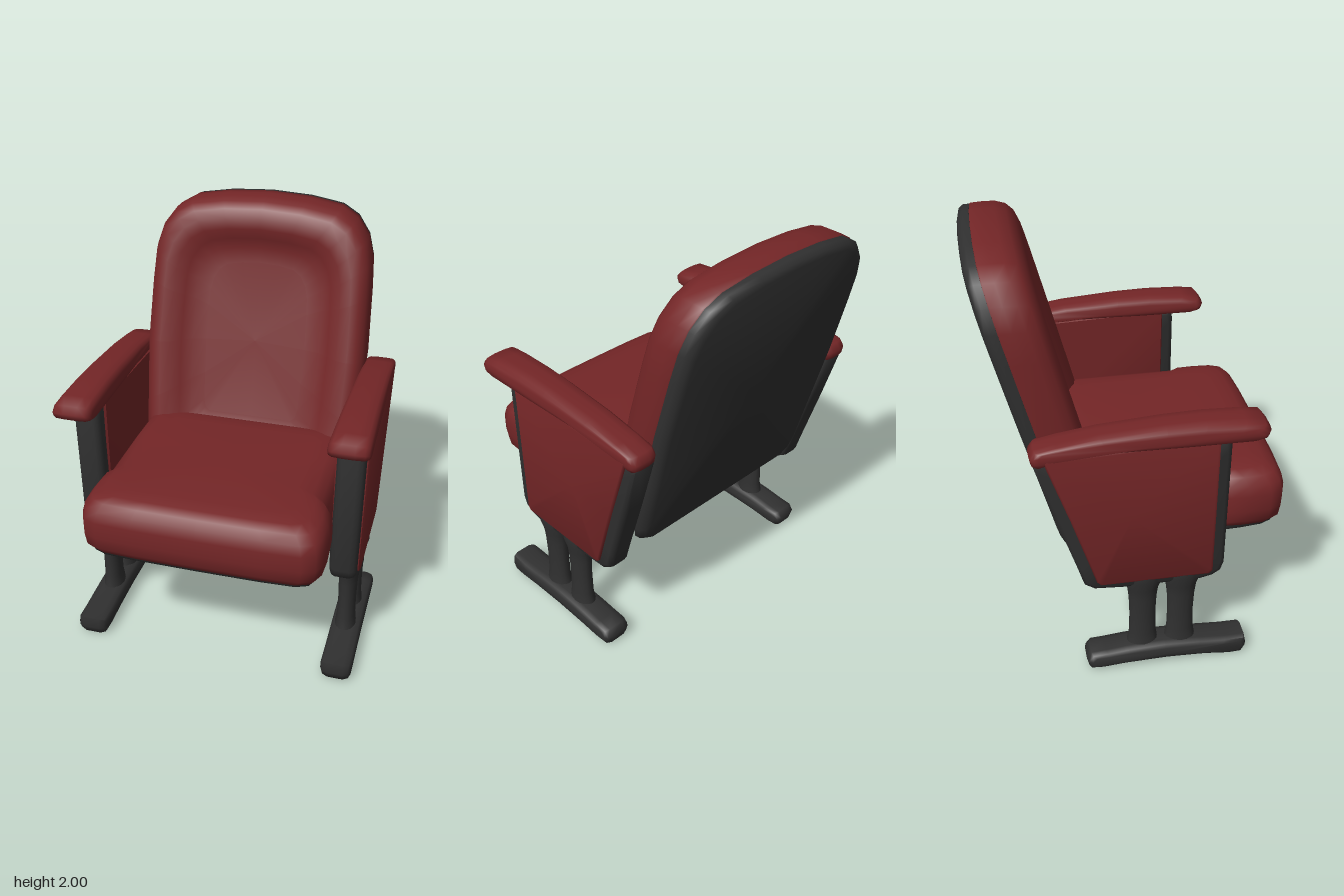
import * as THREE from 'three';
import { toCreasedNormals } from 'three/addons/utils/BufferGeometryUtils.js';
import { RoundedBoxGeometry } from 'three/addons/geometries/RoundedBoxGeometry.js';

// Padded solid: an outline [u, v] stacked through layers [depth, inset], placed by map(u, v, depth).
function pad(outline, layers, map, crease = 0.9) {
  const us = outline.map(p => p[0]), vs = outline.map(p => p[1]);
  const u0 = Math.min(...us), u1 = Math.max(...us), v0 = Math.min(...vs), v1 = Math.max(...vs);
  const cu = (u0 + u1) / 2, cv = (v0 + v1) / 2, hu = (u1 - u0) / 2, hv = (v1 - v0) / 2;
  const n = outline.length, pos = [], idx = [];
  for (const [d, inset] of layers)
    for (const [u, v] of outline)
      pos.push(...map(cu + (u - cu) * (1 - inset / hu), cv + (v - cv) * (1 - inset / hv), d));
  const last = (layers.length - 1) * n, c0 = layers.length * n;
  pos.push(...map(cu, cv, layers[0][0]), ...map(cu, cv, layers[layers.length - 1][0]));
  for (let i = 0; i < n; i++) {
    const j = (i + 1) % n;
    for (let k = 0; k < last; k += n) idx.push(k + i, k + j, k + n + j, k + i, k + n + j, k + n + i);
    idx.push(c0, j, i, c0 + 1, last + i, last + j);
  }
  // Face outward whatever the outline direction or mirroring
  const P = i => new THREE.Vector3().fromArray(pos, i * 3);
  let volume = 0;
  for (let t = 0; t < idx.length; t += 3) volume += P(idx[t]).dot(P(idx[t + 1]).cross(P(idx[t + 2])));
  if (volume < 0) idx.reverse();
  const g = new THREE.BufferGeometry();
  g.setAttribute('position', new THREE.Float32BufferAttribute(pos, 3));
  g.setIndex(idx);
  return toCreasedNormals(g, crease);
}

const mirrored = half => [...half, ...half.filter(p => p[0] > 0).reverse().map(([x, y]) => [-x, y])];

export function createModel() {
  const model = new THREE.Group();
  const red = new THREE.MeshStandardMaterial({ color: 0x742627 });
  red.name = 'red upholstery';
  const dark = new THREE.MeshStandardMaterial({ color: 0x303030 });
  dark.name = 'dark frame';
  const add = (name, geometry, material, parent = model) => {
    const mesh = new THREE.Mesh(geometry, material);
    mesh.name = name;
    parent.add(mesh);
    return mesh;
  };

  // Reclined backrest: dark shell and cushion with a recessed centre
  const backHalf = bottom => mirrored([
    [0, 2], [0.2, 1.99], [0.36, 1.965], [0.44, 1.92], [0.5, 1.84], [0.53, 1.74], [0.54, 1.6],
    [0.55, 1.3], [0.54, 1.0], [0.53, bottom + 0.1], [0.51, bottom + 0.03], [0.46, bottom], [0, bottom]]);
  const recline = (x, y, d) => [x, y, -0.34 - 0.265 * (y - 0.6) + d];
  add('backShell', pad(backHalf(0.59), [[0, 0.045], [0.012, 0.022], [0.035, 0.008], [0.065, 0.006]], recline), dark);
  add('backCushion', pad(backHalf(0.66), [
    [0.05, 0.02], [0.07, 0.003], [0.12, 0], [0.18, 0], [0.225, 0.012], [0.252, 0.04], [0.262, 0.08],
    [0.255, 0.13], [0.225, 0.18], [0.2, 0.23], [0.192, 0.3]], recline, 1.5), red);

  // Seat cushion, wider ahead of the arms, over a dark pan that deepens to the rear
  const seatHalf = mirrored([
    [0, 0.69], [0.3, 0.688], [0.47, 0.68], [0.53, 0.655], [0.555, 0.6], [0.56, 0.5], [0.555, 0.41],
    [0.53, 0.37], [0.53, 0], [0.525, -0.22], [0.48, -0.3], [0, -0.3]]);
  add('seatCushion', pad(seatHalf, [
    [0.655, 0.06], [0.665, 0.03], [0.7, 0.007], [0.76, 0], [0.84, 0], [0.89, 0.012], [0.925, 0.04],
    [0.943, 0.085], [0.95, 0.16]], (x, z, y) => [x, y, z], 1.5), red);
  add('seatPan', pad(seatHalf, [[0, 0.03], [0.5, 0.035], [0.85, 0.06], [1, 0.11]], (x, z, t) => {
    const deep = THREE.MathUtils.smoothstep(0.6 - z, 0, 0.55);
    return [x, 0.668 - t * (0.032 + 0.078 * deep), z];
  }), dark);

  // Crossbar joining the two side frames
  add('crossbar', new RoundedBoxGeometry(1.16, 0.105, 0.2, 3, 0.03), dark).position.set(0, 0.498, 0);

  // Side outlines as [z, y]
  const frame = [
    [0.36, 1.25], [0.37, 1.2], [0.37, 0.56], [0.355, 0.515], [0.32, 0.49], [0.26, 0.475], [-0.1, 0.475],
    [-0.23, 0.485], [-0.275, 0.515], [-0.3, 0.6], [-0.4, 0.92], [-0.48, 1.19], [-0.46, 1.24]];
  const panel = [[0.31, 1.26], [0.31, 0.54], [0.295, 0.52], [-0.2, 0.52], [-0.22, 0.54], [-0.33, 0.9], [-0.44, 1.23]];
  const rest = [
    [0.5, 1.315], [0.42, 1.325], [0.25, 1.332], [0.08, 1.328], [-0.2, 1.308], [-0.38, 1.28], [-0.47, 1.26],
    [-0.492, 1.23], [-0.485, 1.195], [-0.46, 1.18], [-0.38, 1.21], [-0.15, 1.235], [0.2, 1.235], [0.47, 1.24],
    [0.515, 1.255], [0.525, 1.285]];
  const foot = [
    [0.49, 0.1], [0.4, 0.1], [0.27, 0.11], [0.1, 0.12], [-0.08, 0.112], [-0.18, 0.1], [-0.25, 0.095],
    [-0.272, 0.06], [-0.26, 0.015], [-0.2, 0.01], [-0.1, 0.02], [0.1, 0.028], [0.3, 0.018], [0.42, 0.002],
    [0.48, 0.006], [0.5, 0.05]];
  const post = [
    [0.085, 0.06], [0.072, 0.12], [0.064, 0.17], [0.062, 0.28], [0.066, 0.38], [0.073, 0.44], [0.095, 0.5],
    [0.09, 0.54]].map(p => new THREE.Vector2(...p));

  for (const s of [1, -1]) {
    const side = new THREE.Group();
    side.name = s > 0 ? 'leftSide' : 'rightSide';
    model.add(side);
    const across = (z, y, x) => [s * x, y, z];
    // Frame leans outward slightly toward the top
    const lean = (z, y, x) => [s * (x + 0.012 * (y - 0.6)), y, z];

    add('sideFrame', pad(frame, [[0.54, 0.025], [0.552, 0.006], [0.57, 0], [0.635, 0], [0.655, 0.006], [0.667, 0.025]], lean), dark, side);
    add('outerPanel', pad(panel, [[0.65, 0], [0.672, 0], [0.68, 0.012]], lean), red, side);
    add('innerPanel', pad(panel, [[0.545, 0], [0.535, 0.006]], across), red, side);

    // Armrest narrows toward the rear
    add('armrest', pad(rest, [
      [-0.092, 0.035], [-0.086, 0.018], [-0.07, 0.004], [-0.03, 0], [0.03, 0], [0.07, 0.004], [0.086, 0.018],
      [0.092, 0.035]], (z, y, d) => [s * (0.616 + d * (1 - 0.25 * (0.5 - z))), y, z], 1.2), red, side);

    // Twin posts on a long foot
    for (const z of [0.18, 0]) {
      const leg = add('legPost', new THREE.LatheGeometry(post, 16), dark, side);
      leg.scale.x = 0.7;
      leg.position.set(s * 0.612, 0, z);
    }
    add('foot', pad(foot, [[0.545, 0.025], [0.555, 0.008], [0.58, 0], [0.655, 0], [0.68, 0.008], [0.69, 0.025]], across, 1.2), dark, side);
  }
  return model;
}
